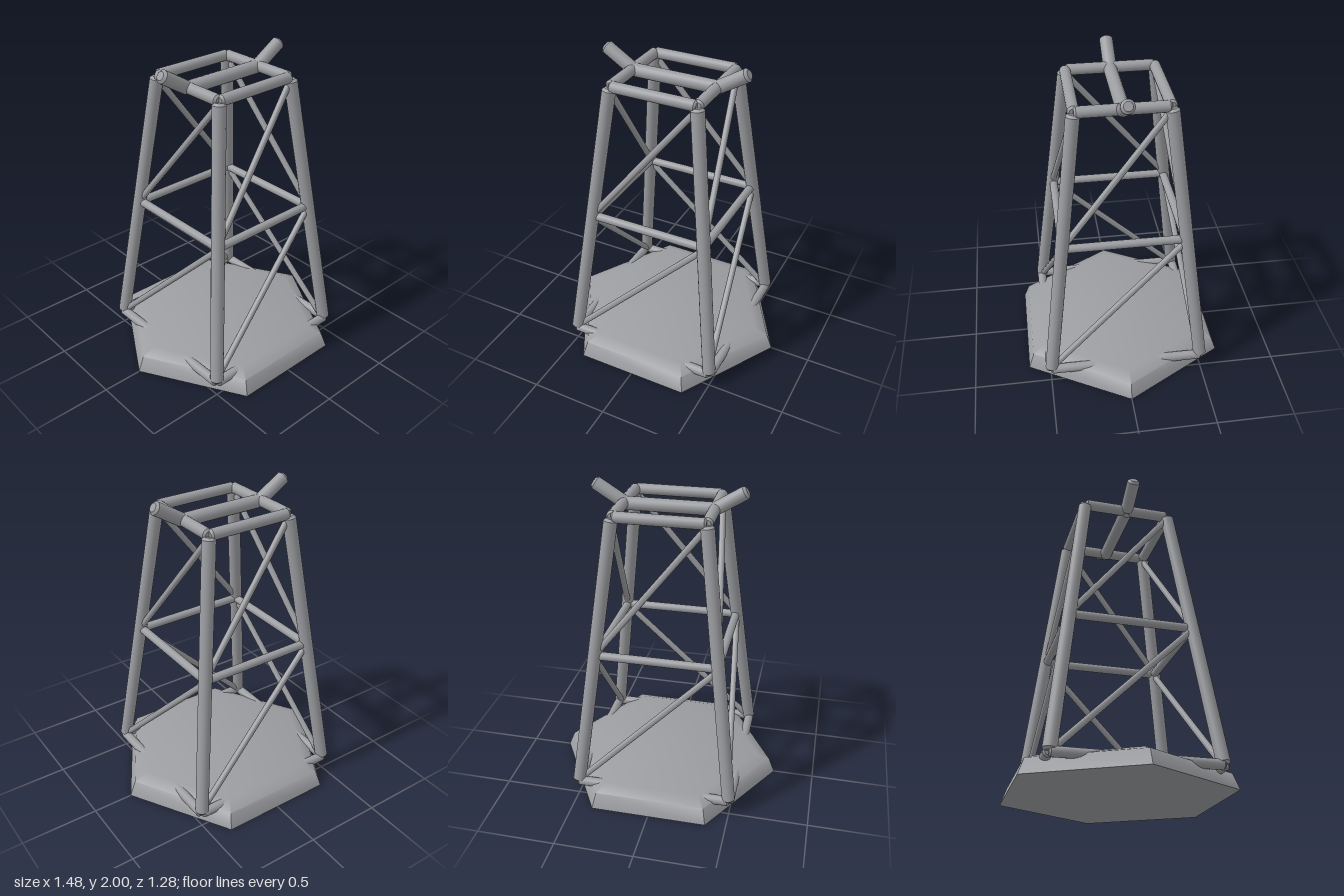
import * as THREE from 'three';
import { toCreasedNormals } from 'three/addons/utils/BufferGeometryUtils.js';

const steel = new THREE.MeshStandardMaterial({ color: 0x9c9da1 });
steel.name = 'steel grey';

// Round bar with chamfered ends between two points
function bar(name, a, b, r) {
  const from = new THREE.Vector3(...a), to = new THREE.Vector3(...b);
  const dir = to.clone().sub(from), len = dir.length(), c = r * 0.35;
  const profile = [[0, 0], [r - c, 0], [r, c], [r, len - c], [r - c, len], [0, len]]
    .map(([x, y]) => new THREE.Vector2(x, y));
  const mesh = new THREE.Mesh(toCreasedNormals(new THREE.LatheGeometry(profile, 16), 0.6), steel);
  mesh.name = name;
  mesh.position.copy(from);
  mesh.quaternion.setFromUnitVectors(new THREE.Vector3(0, 1, 0), dir.normalize());
  return mesh;
}

export function createModel() {
  const tower = new THREE.Group();
  tower.name = 'latticeTower';

  // Hexagonal foot slab with a bevelled rim
  const rim = [[0, 0], [0.74, 0], [0.7, 0.1], [0.61, 0.135], [0, 0.135]]
    .map(([x, y]) => new THREE.Vector2(x, y));
  const slab = new THREE.LatheGeometry(rim, 6);
  slab.rotateY(Math.PI / 6);
  const base = new THREE.Mesh(toCreasedNormals(slab, 0.9), steel);
  base.name = 'base';
  tower.add(base);

  // Four sides, each leaning inward; corners run round the tower
  const corners = [[-1, 1], [1, 1], [1, -1], [-1, -1]];
  const at = (i, half, y) => {
    const [x, z] = corners[i % 4];
    return [x * half, y, z * half];
  };
  for (let i = 0; i < 4; i++) {
    tower.add(
      bar('leg', at(i, 0.495, 0.1), at(i, 0.281, 1.85), 0.042),
      bar('bottomRail', at(i, 0.5, 0.1), at(i + 1, 0.5, 0.1), 0.031),
      bar('middleRail', at(i, 0.38, 0.99), at(i + 1, 0.38, 0.99), 0.027),
      bar('topRail', at(i, 0.278, 1.858), at(i + 1, 0.278, 1.858), 0.035),
      bar('lowerBrace', at(i, 0.485, 0.11), at(i + 1, 0.386, 0.98), 0.02),
      bar('upperBrace', at(i, 0.383, 1.0), at(i + 1, 0.281, 1.84), 0.02)
    );
  }

  // Crossbar with raised arms on both sides
  tower.add(bar('crossbar', [-0.29, 1.853, 0], [0.29, 1.853, 0], 0.042));
  for (const s of [-1, 1]) {
    tower.add(bar('arm', [s * 0.27, 1.85, 0], [s * 0.467, 1.973, 0], 0.042));
  }
  return tower;
}
